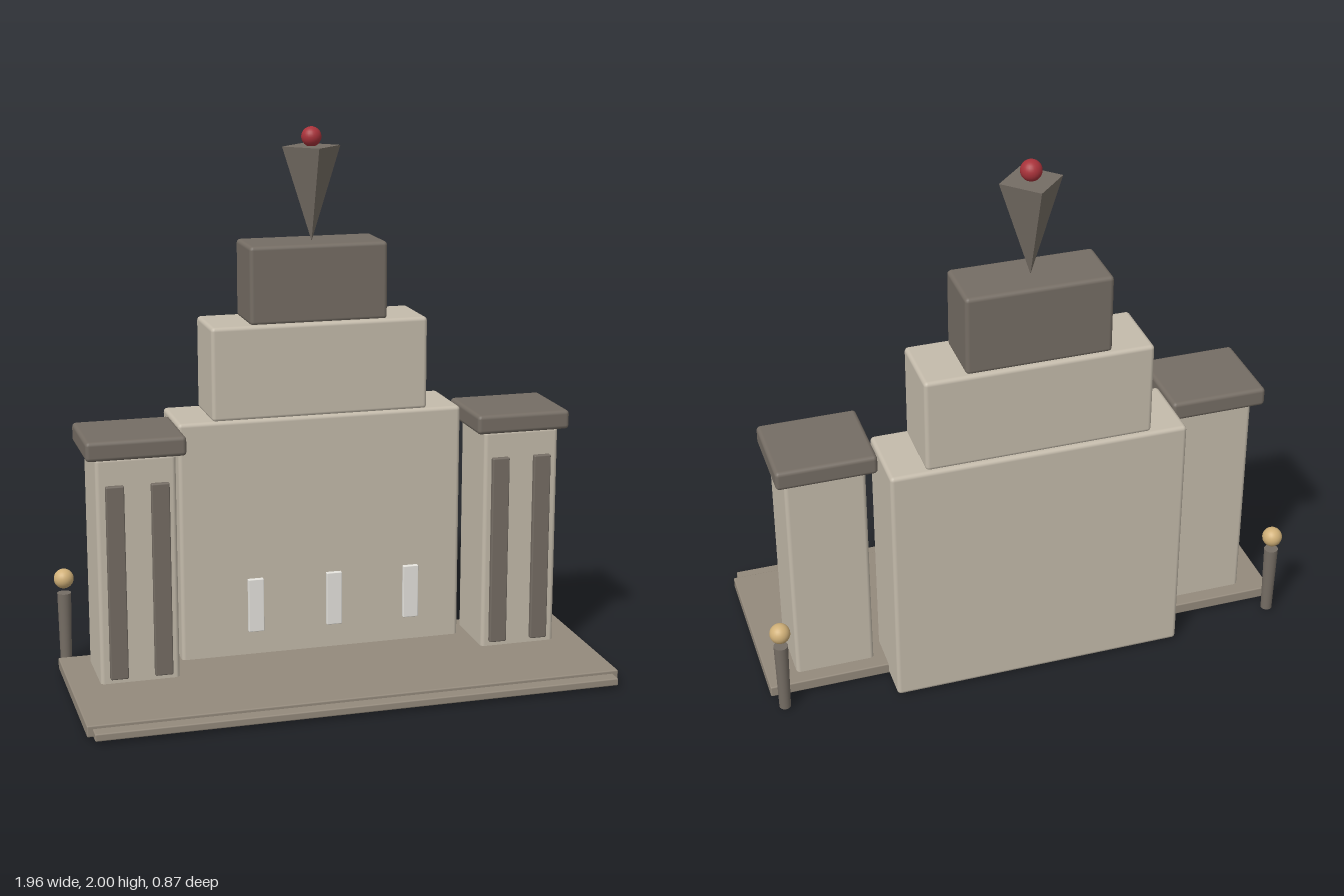
import * as THREE from 'three';
import { RoundedBoxGeometry } from 'three/addons/geometries/RoundedBoxGeometry.js';

const paint = (color, flatShading = false) => new THREE.MeshStandardMaterial({ color, flatShading });

export function createModel() {
  const model = new THREE.Group();
  const stone = paint(0xc4bbab);
  const dark = paint(0x756d64);
  const paving = paint(0x948a7c);
  const brass = paint(0xd0b078);
  const glass = paint(0xe6e4de);
  const earth = paint(0x8a7a58);
  const red = paint(0xa8323a);

  const add = (name, geometry, material, x, y, z) => {
    const mesh = new THREE.Mesh(geometry, material);
    mesh.name = name;
    mesh.position.set(x, y, z);
    model.add(mesh);
    return mesh;
  };

  // Softly bevelled block given by its extents
  const block = (name, material, [x0, x1], [y0, y1], [z0, z1], bevel = 0.015) =>
    add(name, new RoundedBoxGeometry(x1 - x0, y1 - y0, z1 - z0, 2, bevel), material,
      (x0 + x1) / 2, (y0 + y1) / 2, (z0 + z1) / 2);

  // Forecourt with a lower front step
  block('forecourt', paving, [-0.98, 0.98], [0.01, 0.052], [-0.305, 0.38], 0.005);
  block('frontStep', paving, [-0.96, 0.96], [0.012, 0.04], [-0.2, 0.43], 0.005);
  block('foundationPad', earth, [-0.42, 0.42], [0, 0.03], [-0.1, 0.22], 0.003);

  // Stepped central building
  block('mainHall', stone, [-0.54, 0.54], [0.008, 0.955], [-0.435, -0.15]);
  block('middleTier', stone, [-0.41, 0.41], [0.95, 1.3], [-0.42, -0.16]);
  block('upperTier', dark, [-0.26, 0.26], [1.295, 1.585], [-0.405, -0.18]);

  // Inverted four-sided spire with a ball on top
  add('spire', new THREE.CylinderGeometry(0.11, 0.001, 0.345, 4), paint(0x756d64, true), 0, 1.757, -0.293);
  add('spireBall', new THREE.SphereGeometry(0.037, 24, 16), red, 0, 1.963, -0.293);

  // Narrow light panels standing in front of the hall
  for (const x of [-0.295, 0, 0.295])
    block('lightPanel', glass, [x - 0.029, x + 0.029], [0.2, 0.4], [0, 0.018], 0.003);

  // Side towers and bollards, mirrored
  for (const side of [-1, 1]) {
    const span = (inner, outer) => side > 0 ? [inner, outer] : [-outer, -inner];
    block('tower', stone, span(0.58, 0.87), [0.004, 0.89], [-0.25, 0.01]);
    block('towerCap', dark, span(0.545, 0.905), [0.885, 0.957], [-0.29, 0.035]);
    for (const x of [0.608, 0.771])
      block('pilaster', dark, span(x, x + 0.066), [0.07, 0.79], [-0.01, 0.028], 0.005);
    add('bollardPost', new THREE.CylinderGeometry(0.026, 0.021, 0.275, 20), dark, side * 0.942, 0.147, -0.365);
    add('bollardBall', new THREE.SphereGeometry(0.037, 24, 16), brass, side * 0.942, 0.34, -0.365);
  }

  return model;
}
